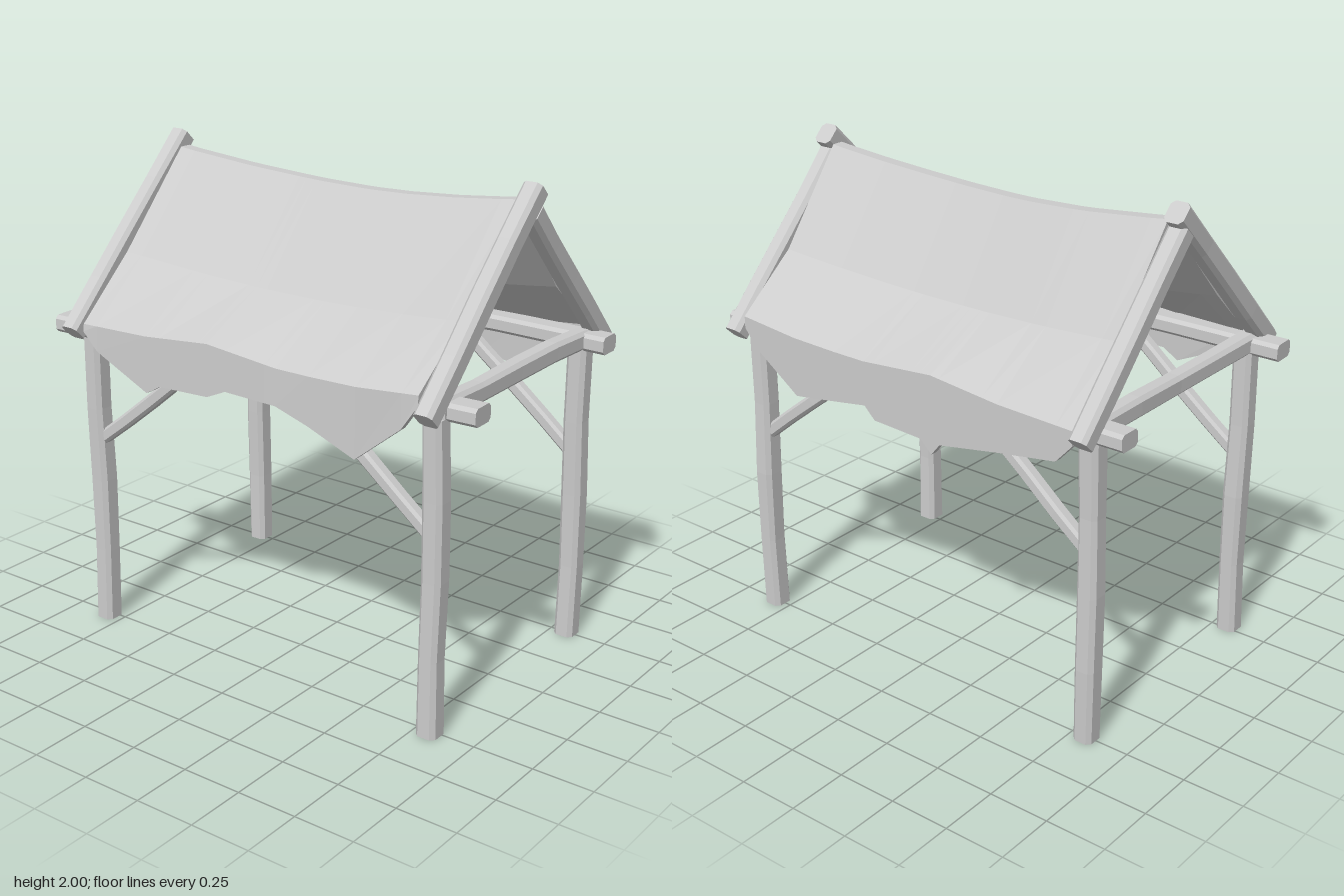
import * as THREE from 'three';

const wood = new THREE.MeshStandardMaterial({ color: 0xcccccc, flatShading: true });
const cloth = new THREE.MeshStandardMaterial({ color: 0xcccccc, flatShading: true, side: THREE.DoubleSide });
const V = (x, y, z) => new THREE.Vector3(x, y, z);

// Hand-hewn timber: chamfered section run from a to b; w is measured along "side", h across it
function beam(name, a, b, side, w, h, wobble = 0.004) {
  const c = Math.min(w, h) * 0.2, x = w / 2, y = h / 2;
  const shape = new THREE.Shape([
    [x, -y + c], [x, y - c], [x - c, y], [-x + c, y],
    [-x, y - c], [-x, -y + c], [-x + c, -y], [x - c, -y],
  ].map(p => new THREE.Vector2(...p)));
  const dir = b.clone().sub(a), len = dir.length();
  dir.normalize();
  const geo = new THREE.ExtrudeGeometry(shape, { depth: len, steps: 4, bevelEnabled: false });

  // Slight uneven hewing along the length
  const p = geo.attributes.position;
  for (let i = 0; i < p.count; i++) {
    const t = p.getZ(i) / len, seed = a.x * 7 + a.z * 5 + a.y;
    const s = 1 + wobble * 8 * Math.sin(t * 9 + seed);
    p.setX(i, p.getX(i) * s + wobble * Math.sin(t * 6 + seed * 2));
    p.setY(i, p.getY(i) * s + wobble * Math.cos(t * 7 + seed));
  }
  geo.applyMatrix4(new THREE.Matrix4()
    .makeBasis(side, dir.clone().cross(side), dir).setPosition(a));
  geo.computeVertexNormals();
  const mesh = new THREE.Mesh(geo, wood);
  mesh.name = name;
  return mesh;
}

// Linear interpolation through [x, y] points
function along(points, x) {
  for (let i = 1; i < points.length; i++) {
    const [x0, y0] = points[i - 1], [x1, y1] = points[i];
    if (x <= x1) return y0 + (y1 - y0) * (x - x0) / (x1 - x0);
  }
  return points[points.length - 1][1];
}

// Sagging cloth roof with a ragged hanging edge on both sides
function canopy() {
  const frontHem = [[-0.79, 1.29], [-0.73, 1.22], [-0.47, 1.1], [-0.4, 1.14], [-0.16, 1.15],
    [-0.07, 1.19], [0.17, 1.185], [0.32, 1.14], [0.53, 1.06], [0.73, 1.22], [0.8, 1.32]];
  const backHem = [[-0.79, 1.25], [-0.72, 1.16], [-0.47, 1.13], [-0.2, 1.08], [-0.16, 1.03],
    [-0.11, 1.08], [0.12, 1.09], [0.16, 1.14], [0.4, 1.1], [0.53, 1.08], [0.73, 1.22], [0.8, 1.3]];
  const fold = [[-0.8, 1.32], [-0.47, 1.33], [-0.16, 1.36], [0.17, 1.33], [0.48, 1.33], [0.8, 1.36]];
  const xs = [-0.8, -0.73, -0.47, -0.4, -0.2, -0.16, -0.11, -0.07, 0.12, 0.17, 0.32, 0.53, 0.73, 0.8];

  // Closed section at each station: outer skin front to back, then inner skin back to front
  const rings = xs.map(x => {
    const u = Math.max(0, 1 - (x / 0.8) ** 2);
    const top = 1.93 - 0.05 * u, mid = 1.56 - 0.05 * u, midZ = 0.34 - 0.04 * u;
    const f = along(fold, x), b = f - 0.01;
    const fh = Math.min(along(frontHem, x < -0.79 ? -0.79 : x), f - 0.02);
    const bh = Math.min(along(backHem, x < -0.79 ? -0.79 : x), b - 0.02);
    const ridge = 0.01 * Math.sin(x * 5);
    return [
      [fh, 0.61], [f, 0.605], [mid, midZ], [top, -0.01 + ridge], [top, -0.06 + ridge],
      [mid, -midZ - 0.01], [b, -0.61], [bh, -0.61],
      [bh, -0.58], [b - 0.03, -0.575], [mid - 0.025, -midZ + 0.02], [top - 0.045, -0.045 + ridge],
      [top - 0.045, -0.02 + ridge], [mid - 0.025, midZ - 0.025], [f - 0.03, 0.575], [fh, 0.58],
    ].map(([y, z]) => V(x, y, z));
  });

  const pos = [];
  const quad = (a, b, c, d) => [a, b, c, a, c, d].forEach(v => pos.push(v.x, v.y, v.z));
  const n = rings[0].length;
  for (let i = 0; i < rings.length - 1; i++) {
    for (let j = 0; j < n; j++) {
      const k = (j + 1) % n;
      quad(rings[i][j], rings[i + 1][j], rings[i + 1][k], rings[i][k]);
    }
  }
  // Cut ends of the cloth
  const L = rings[0], R = rings[rings.length - 1];
  for (let j = 0; j < n / 2 - 1; j++) {
    quad(L[j], L[j + 1], L[n - 2 - j], L[n - 1 - j]);
    quad(R[j + 1], R[j], R[n - 1 - j], R[n - 2 - j]);
  }
  const geo = new THREE.BufferGeometry();
  geo.setAttribute('position', new THREE.Float32BufferAttribute(pos, 3));
  geo.computeVertexNormals();
  const mesh = new THREE.Mesh(geo, cloth);
  mesh.name = 'clothCanopy';
  return mesh;
}

export function createModel() {
  const group = new THREE.Group();
  group.name = 'canopyShelter';
  const X = V(1, 0, 0), Y = V(0, 1, 0), Z = V(0, 0, 1);

  for (const s of [-1, 1]) {
    const side = s > 0 ? 'left' : 'right';
    for (const e of [1, -1]) {
      const end = e > 0 ? 'Front' : 'Back', z = e > 0 ? 0.515 : -0.505;
      group.add(beam(side + end + 'Post', V(s * 0.82, 0, z), V(s * 0.82, 1.26, z), X, 0.085, 0.088));
      // Diagonal brace from post to rail
      group.add(beam(side + end + 'Brace', V(s * 0.81, 0.805, z), V(s * 0.25, 1.25, z), Z, 0.055, 0.055, 0.002));
    }
    // Tie beam across the gable
    group.add(beam(side + 'TieBeam', V(s * 0.82, 1.288, -0.53), V(s * 0.82, 1.288, 0.53), X, 0.075, 0.08));
    // Rafters; the front one laps over the back one at the peak
    group.add(beam(side + 'FrontRafter', V(s * 0.842, 1.28, 0.625), V(s * 0.842, 1.967, -0.062), X, 0.08, 0.088, 0.002));
    group.add(beam(side + 'BackRafter', V(s * 0.842, 1.27, -0.62), V(s * 0.842, 1.89, -0.03), X, 0.08, 0.085, 0.002));
  }

  // Long rails along the eaves, the front one set a little askew
  group.add(beam('frontRail', V(-0.975, 1.283, 0.54), V(0.975, 1.283, 0.465), Y, 0.07, 0.105, 0.003));
  group.add(beam('backRail', V(-0.97, 1.283, -0.505), V(0.945, 1.283, -0.505), Y, 0.07, 0.1, 0.003));

  group.add(canopy());
  return group;
}
